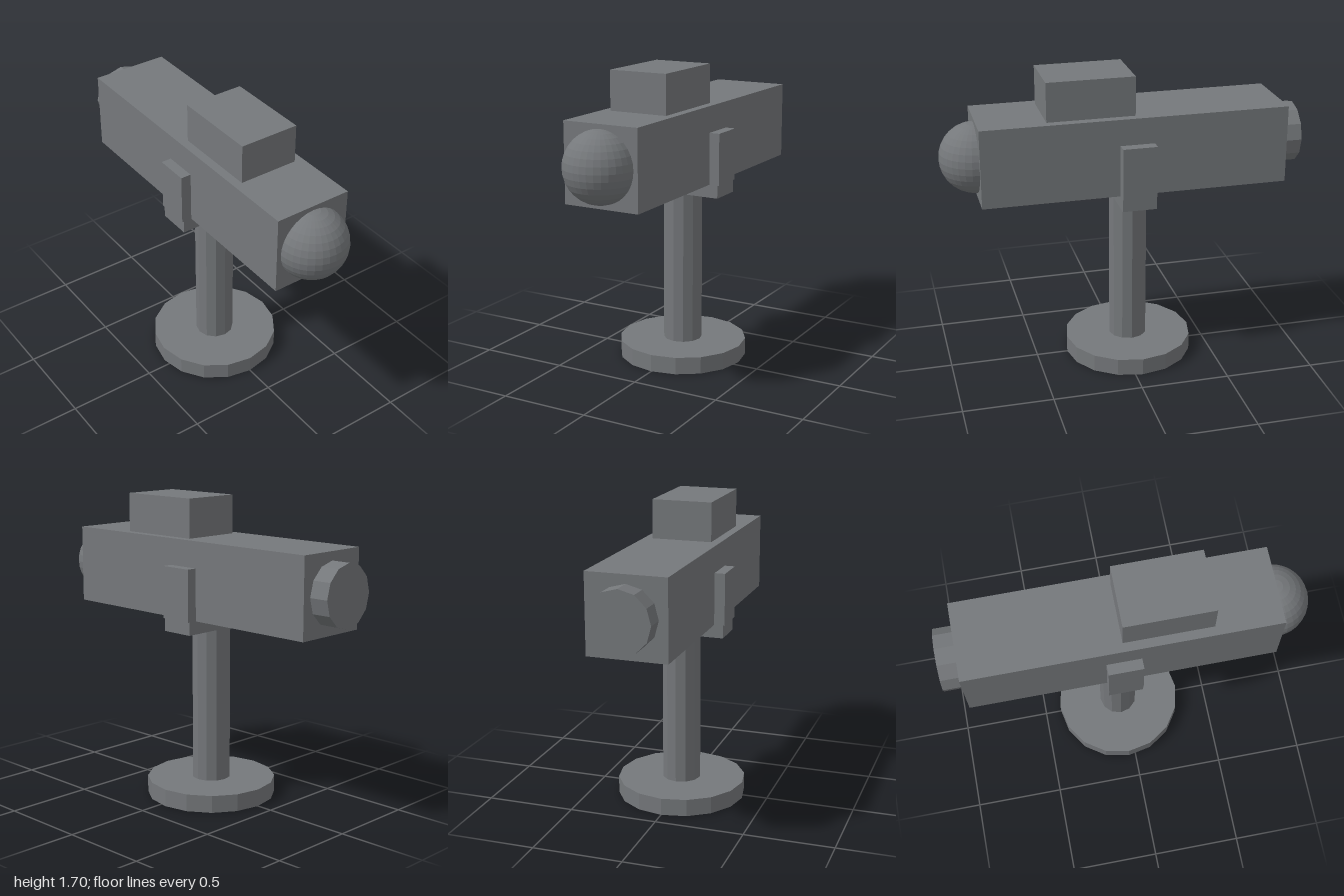
import * as THREE from 'three';

export function createModel() {
  const model = new THREE.Group();
  const material = new THREE.MeshStandardMaterial({ color: 0x75787b, flatShading: true });
  const axisX = -0.042; // stand axis
  const bodyY = 1.262; // height of the body's long axis

  const add = (name, geometry, x, y, z = 0) => {
    const mesh = new THREE.Mesh(geometry, material);
    mesh.name = name;
    mesh.position.set(x, y, z);
    model.add(mesh);
    return mesh;
  };
  // Box given by its extents in x and y, and its depth and centre in z
  const addBox = (name, x0, x1, y0, y1, depth, z = 0) =>
    add(name, new THREE.BoxGeometry(x1 - x0, y1 - y0, depth), (x0 + x1) / 2, (y0 + y1) / 2, z);

  // Stand
  add('base', new THREE.CylinderGeometry(0.364, 0.364, 0.097, 16), axisX, 0.0485);
  add('post', new THREE.CylinderGeometry(0.109, 0.109, 0.9, 12), axisX, 0.546);

  // Cradle holding the body from below and on both sides
  addBox('cradleFloor', -0.137, 0.053, 0.971, 1.044, 0.536);
  for (const side of [1, -1]) {
    addBox(side > 0 ? 'frontCradlePlate' : 'backCradlePlate',
      -0.137, 0.053, 1.044, 1.333, 0.059, side * 0.248);
  }

  // Body with the housing on top
  addBox('body', -0.892, 0.806, 1.044, 1.48, 0.437);
  addBox('topHousing', -0.042, 0.442, 1.48, 1.697, 0.338);

  // Domed lens on one end, faceted eyepiece on the other
  add('lens', new THREE.SphereGeometry(0.194, 32, 16), 0.806, bodyY);
  const eyepiece = add('eyepiece', new THREE.CylinderGeometry(0.17, 0.17, 0.117, 12), -0.9415, bodyY);
  eyepiece.rotation.z = Math.PI / 2;

  return model;
}
